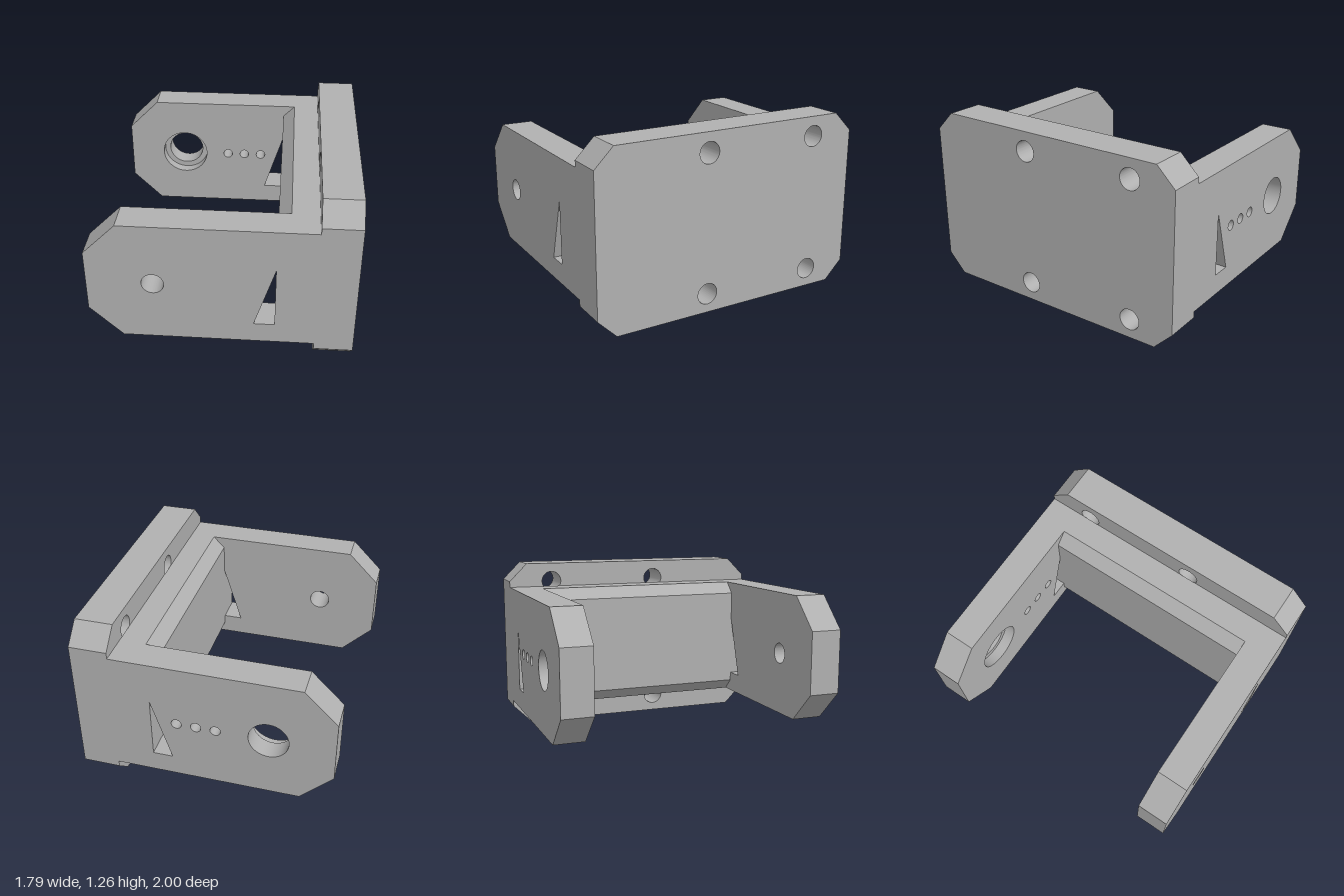
import * as THREE from 'three';
import { toCreasedNormals } from 'three/addons/utils/BufferGeometryUtils.js';

const polygon = (pts) => new THREE.Shape(pts.map(([x, y]) => new THREE.Vector2(x, y)));

const hole = (x, y, r) => new THREE.Path().absarc(x, y, r, 0, Math.PI * 2, true);

// Straight extrusion with round bores smooth and all other edges sharp
function extrude(shape, depth) {
  const g = new THREE.ExtrudeGeometry(shape, { depth, bevelEnabled: false, curveSegments: 40 });
  return toCreasedNormals(g, 0.5);
}

// Side arm outline with chamfered tip and triangular window
function armShape(holes) {
  const s = polygon([
    [0.63, 0.18], [0.63, 1.08], [-0.67, 1.08], [-0.895, 0.855], [-0.895, 0.405], [-0.67, 0.18],
  ]);
  s.holes.push(polygon([[0.22, 0.33], [0.36, 0.78], [0.36, 0.33]]));
  holes.forEach(([x, y, r]) => s.holes.push(hole(x, y, r)));
  return s;
}

export function createModel() {
  const group = new THREE.Group();
  group.name = 'mountingBracket';
  const grey = new THREE.MeshStandardMaterial({ color: 0xb0b0b0 });
  grey.name = 'grey';

  const add = (name, geometry, z = 0) => {
    const mesh = new THREE.Mesh(geometry, grey);
    mesh.name = name;
    mesh.position.z = z;
    group.add(mesh);
  };

  // Mounting plate: octagon lying across z, with four screw holes
  const c = 0.865;
  const plate = polygon([
    [-c, 0], [c, 0], [1, 0.135], [1, 1.125], [c, 1.26], [-c, 1.26], [-1, 1.125], [-1, 0.135],
  ]);
  for (const z of [0.18, -0.67]) {
    for (const y of [0.135, 1.12]) plate.holes.push(hole(-z, y, 0.075));
  }
  const plateGeometry = extrude(plate, 0.265);
  plateGeometry.rotateY(Math.PI / 2).translate(0.63, 0, 0);
  add('mountingPlate', plateGeometry);

  // Front arm with a small pivot hole
  add('frontArm', extrude(armShape([[-0.45, 0.63, 0.075]]), 0.225), 0.775);

  // Back arm in two layers: the inner one carries the wider counterbore
  const pins = [0.18, 0.045, -0.09].map((x) => [x, 0.63, 0.036]);
  add('backArmOuter', extrude(armShape([[-0.45, 0.63, 0.137], ...pins]), 0.14), -1);
  add('backArmInner', extrude(armShape([[-0.45, 0.63, 0.18], ...pins]), 0.08), -0.86);

  // Web between the arms, chamfered along its inner edges
  const web = polygon([
    [0.63, 0.18], [0.63, 1.08], [0.445, 1.08], [0.36, 0.995], [0.36, 0.265], [0.445, 0.18],
  ]);
  add('web', extrude(web, 1.555), -0.78);

  return group;
}
